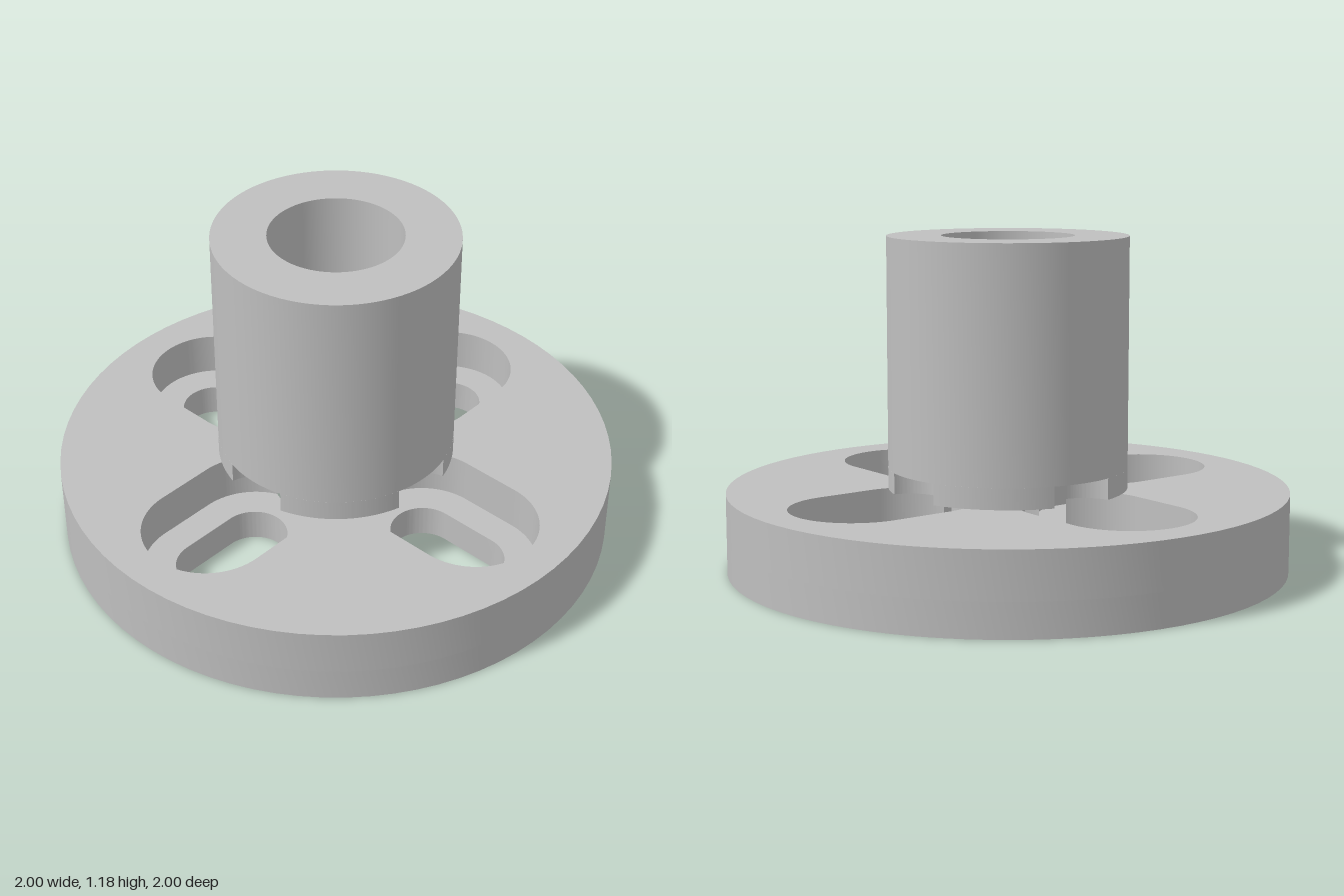
import * as THREE from 'three';
import { toCreasedNormals } from 'three/addons/utils/BufferGeometryUtils.js';

const DISC_R = 1, HUB_R = 0.427, BORE_R = 0.235;
const SLOT_R = 0.12, POCKET_R = 0.233;      // half widths of the through slots and the wide pockets
const INNER = 0.43, OUTER = 0.645;          // centres of the rounded slot ends
const FLOOR_Y = 0.12, DISC_Y = 0.285, NOTCH_Y = 0.36, TOP_Y = 1.18;
const QUARTERS = [0, 1, 2, 3].map((i) => i * Math.PI / 2);

// Where a circle of radius r centred at (INNER, 0) meets a circle of radius R at the origin,
// as the angle seen from the origin and the angle seen from the slot centre
function meet(R, r) {
  const x = (R * R - r * r + INNER * INNER) / (2 * INNER);
  const y = Math.sqrt(R * R - x * x);
  return { fromAxis: Math.atan2(y, x), fromSlot: Math.atan2(y, x - INNER) };
}

// Arc about a point at a given distance along the direction phi
function arc(path, phi, dist, r, a0, a1, clockwise = false) {
  path.absarc(dist * Math.cos(phi), dist * Math.sin(phi), r, phi + a0, phi + a1, clockwise);
}

function circle(r, Type = THREE.Path) {
  return new Type().absarc(0, 0, r, 0, Math.PI * 2, false);
}

// Rounded slot pointing outward along phi
function slot(phi) {
  const p = new THREE.Path();
  arc(p, phi, OUTER, SLOT_R, -Math.PI / 2, Math.PI / 2);
  arc(p, phi, INNER, SLOT_R, Math.PI / 2, Math.PI * 1.5);
  p.closePath();
  return p;
}

// Bore joined with the four wide pockets
function pocketCross() {
  const p = new THREE.Path();
  const m = meet(BORE_R, POCKET_R);
  for (const phi of QUARTERS) {
    arc(p, phi, INNER, POCKET_R, -m.fromSlot, -Math.PI / 2);
    arc(p, phi, OUTER, POCKET_R, -Math.PI / 2, Math.PI / 2);
    arc(p, phi, INNER, POCKET_R, Math.PI / 2, m.fromSlot);
    arc(p, phi, 0, BORE_R, m.fromAxis, Math.PI / 2 - m.fromAxis);
  }
  return p;
}

// Hub outline with four rounded notches
function notchedHub() {
  const s = new THREE.Shape();
  const m = meet(HUB_R, SLOT_R);
  for (const phi of QUARTERS) {
    arc(s, phi, INNER, SLOT_R, -m.fromSlot, m.fromSlot, true);
    arc(s, phi, 0, HUB_R, m.fromAxis, Math.PI / 2 - m.fromAxis);
  }
  return s;
}

export function createModel() {
  const group = new THREE.Group();
  group.name = 'slottedFlangeHub';
  const grey = new THREE.MeshStandardMaterial({ color: 0xbfbfbf });
  grey.name = 'grey';

  // Upright slab from y0 to y1
  function slab(name, shape, holes, y0, y1) {
    shape.holes.push(...holes);
    const raw = new THREE.ExtrudeGeometry(shape, { depth: y1 - y0, bevelEnabled: false, curveSegments: 40 });
    raw.rotateX(-Math.PI / 2).translate(0, y0, 0);
    const mesh = new THREE.Mesh(toCreasedNormals(raw, 0.6), grey);
    mesh.name = name;
    group.add(mesh);
  }

  // Disc: floor with through slots, then the layer holding the open pockets
  slab('flangeFloor', circle(DISC_R, THREE.Shape), [circle(BORE_R), ...QUARTERS.map(slot)], 0, FLOOR_Y);
  slab('flangePockets', circle(DISC_R, THREE.Shape), [pocketCross()], FLOOR_Y, DISC_Y);

  // Hub: notched foot and plain tube
  slab('hubFoot', notchedHub(), [circle(BORE_R)], DISC_Y, NOTCH_Y);
  slab('hubTube', circle(HUB_R, THREE.Shape), [circle(BORE_R)], NOTCH_Y, TOP_Y);

  return group;
}
